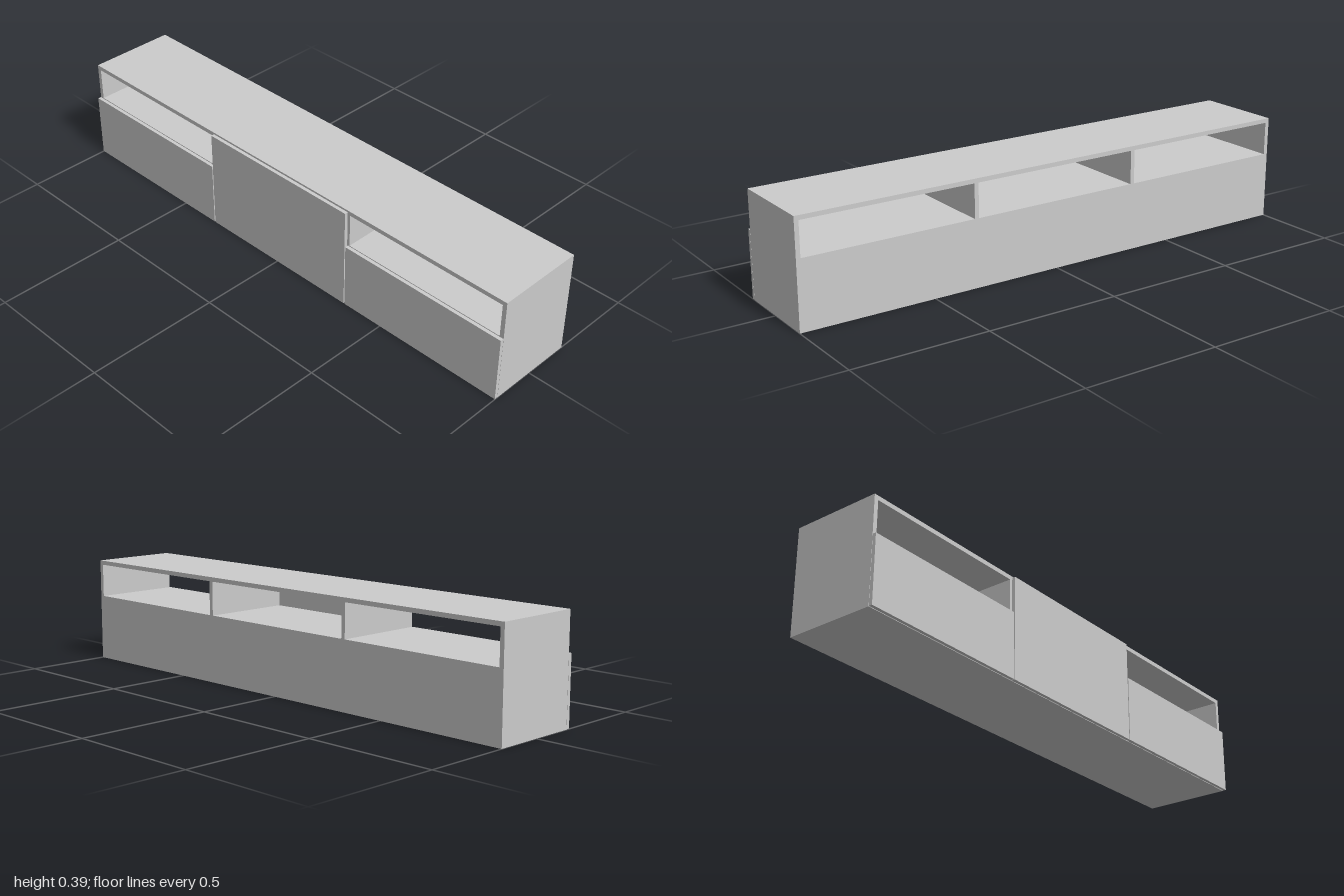
import * as THREE from 'three';

const material = new THREE.MeshStandardMaterial({ color: 0xcccccc, flatShading: true });

// Box given by its minimum and maximum along each axis
function board(name, [x0, x1], [y0, y1], [z0, z1]) {
  const geometry = new THREE.BoxGeometry(x1 - x0, y1 - y0, z1 - z0);
  const mesh = new THREE.Mesh(geometry, material);
  mesh.name = name;
  mesh.position.set((x0 + x1) / 2, (y0 + y1) / 2, (z0 + z1) / 2);
  return mesh;
}

export function createModel() {
  const model = new THREE.Group();
  model.name = 'lowSideboard';

  const height = 0.391, shelfY = 0.25, t = 0.016;
  const depth = [-0.175, 0.161];
  const frontDepth = [0.162, 0.175];
  const nicheY = [shelfY, height - t];

  // Closed lower body, its top being the floor of the niches
  model.add(board('lowerCabinet', [-1, 1], [0, shelfY], depth));

  // Top board over niches open at front and back
  model.add(board('topBoard', [-1, 1], [height - t, height], depth));

  for (const [side, s] of [['left', 1], ['right', -1]]) {
    const span = (a, b) => (s > 0 ? [a, b] : [-b, -a]);
    model.add(board(side + 'EndPanel', span(1 - t, 1), nicheY, depth));
    model.add(board(side + 'Divider', span(0.333 - t / 2, 0.333 + t / 2), nicheY, depth));
    // Low front below the open niche
    model.add(board(side + 'Front', span(0.335, 1), [0.001, 0.248], frontDepth));
  }

  // Tall middle door covering the central niche
  model.add(board('middleDoor', [-0.331, 0.331], [0.001, 0.385], frontDepth));

  return model;
}
